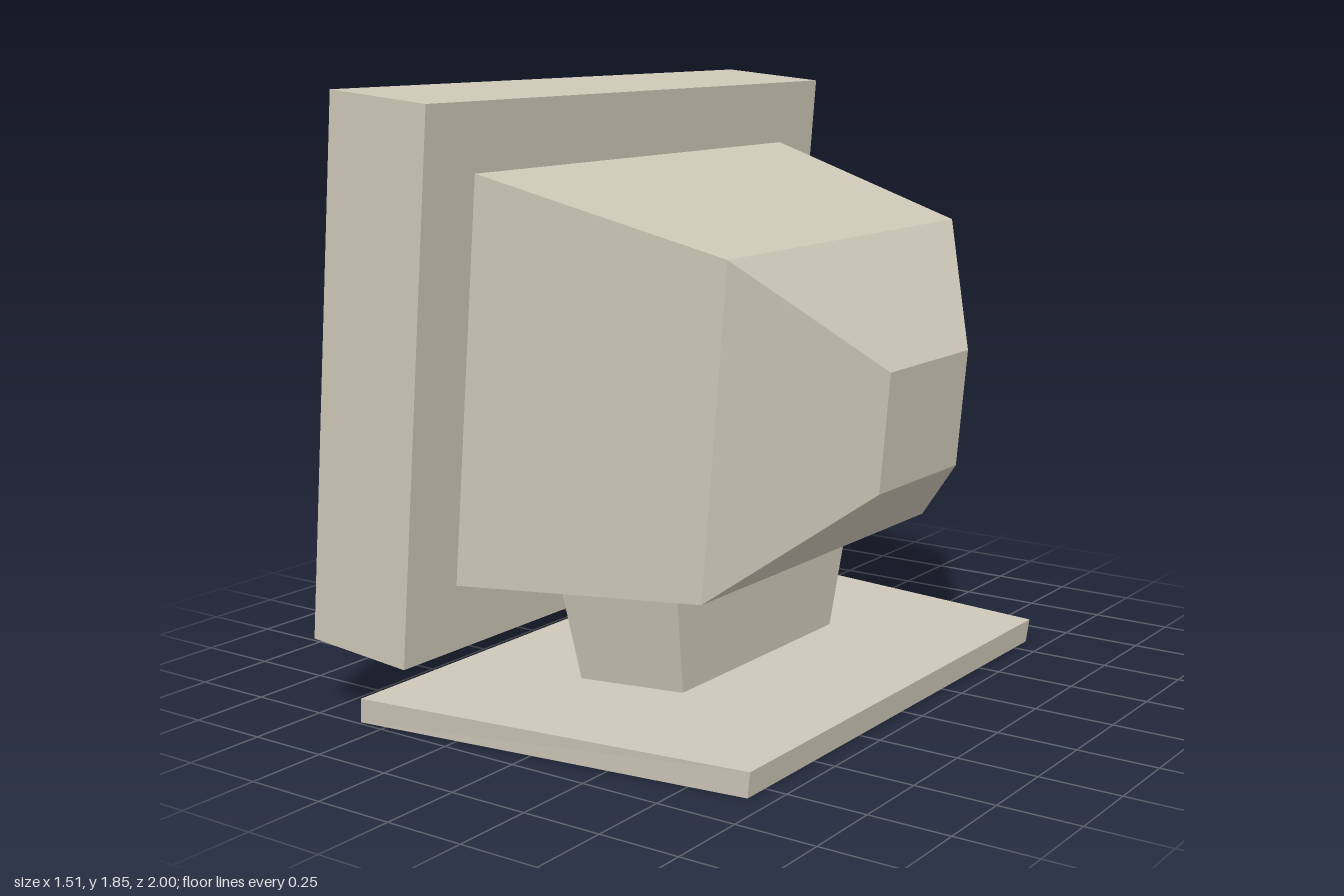
import * as THREE from 'three';

const caseMat = new THREE.MeshStandardMaterial({ color: 0xcdc7b7 });
caseMat.flatShading = true;
const screenMat = new THREE.MeshStandardMaterial({ color: 0x0d0d0d });

// Flat-sided solid through four-cornered rings, each counterclockwise seen from the far end
function loft(rings) {
  const pos = [];
  const quad = (a, b, c, d) => pos.push(...a, ...b, ...c, ...a, ...c, ...d);
  for (let r = 0; r < rings.length - 1; r++) {
    for (let i = 0; i < 4; i++) {
      const j = (i + 1) % 4;
      quad(rings[r][i], rings[r][j], rings[r + 1][j], rings[r + 1][i]);
    }
  }
  const s = rings[0], e = rings[rings.length - 1];
  quad(s[3], s[2], s[1], s[0]);
  quad(e[0], e[1], e[2], e[3]);
  const geo = new THREE.BufferGeometry();
  geo.setAttribute('position', new THREE.Float32BufferAttribute(pos, 3));
  geo.computeVertexNormals();
  return geo;
}

// Upright ring: bottom and top points in side profile, half width in z
const upright = ([xb, yb, xt, yt, w]) => [[xb, yb, -w], [xt, yt, -w], [xt, yt, w], [xb, yb, w]];
// Level trapezoid ring: height, x range, half widths at each end
const level = ([y, x0, x1, w0, w1]) => [[x0, y, -w0], [x0, y, w0], [x1, y, w1], [x1, y, -w1]];

function part(name, geo, mat = caseMat) {
  const mesh = new THREE.Mesh(geo, mat);
  mesh.name = name;
  return mesh;
}

export function createModel() {
  const model = new THREE.Group();
  model.name = 'monitor';

  // Foot plate and neck
  model.add(part('base', loft([
    [0, -0.59, 0.68, 0.99, 0.835],
    [0.077, -0.58, 0.69, 0.997, 0.838],
  ].map(level))));
  model.add(part('neck', loft([
    [0.07, -0.16, 0.17, 0.48, 0.415],
    [0.45, -0.188, 0.198, 0.563, 0.488],
  ].map(level))));

  // Tapered tube housing
  model.add(part('housing', loft([
    [-0.38, 0.405, -0.275, 1.62, 0.79],
    [0.39, 0.438, 0.477, 1.414, 0.635],
    [0.723, 0.72, 0.755, 1.075, 0.23],
  ].map(upright))));

  // Tilted head: origin at the bottom front edge, x runs backward, y up
  const H = 1.63, D = 0.36, recess = 0.105, border = 0.206;
  const head = new THREE.Group();
  head.name = 'head';
  head.position.set(-0.76, 0.23, 0);
  head.rotation.z = -Math.atan2(0.14, 1.625);

  // Frame around the recessed screen
  const rect = (P, w, y0, y1) => new P([[-w, y0], [w, y0], [w, y1], [-w, y1]].map(p => new THREE.Vector2(...p)));
  const outline = rect(THREE.Shape, 1, 0, H);
  outline.holes.push(rect(THREE.Path, 1 - border, border, H - border));
  const frameGeo = new THREE.ExtrudeGeometry(outline, { depth: recess, bevelEnabled: false });
  head.add(part('bezelFrame', frameGeo.rotateY(Math.PI / 2)));

  // Solid rear of the bezel
  const backGeo = new THREE.BoxGeometry(D - recess, H, 2);
  head.add(part('bezelBack', backGeo.translate((D + recess) / 2, H / 2, 0)));

  // Dark screen facing -x
  const screenGeo = new THREE.PlaneGeometry(2 - 2 * border, H - 2 * border).rotateY(-Math.PI / 2);
  head.add(part('screen', screenGeo.translate(recess - 0.003, H / 2, 0), screenMat));

  model.add(head);
  return model;
}
